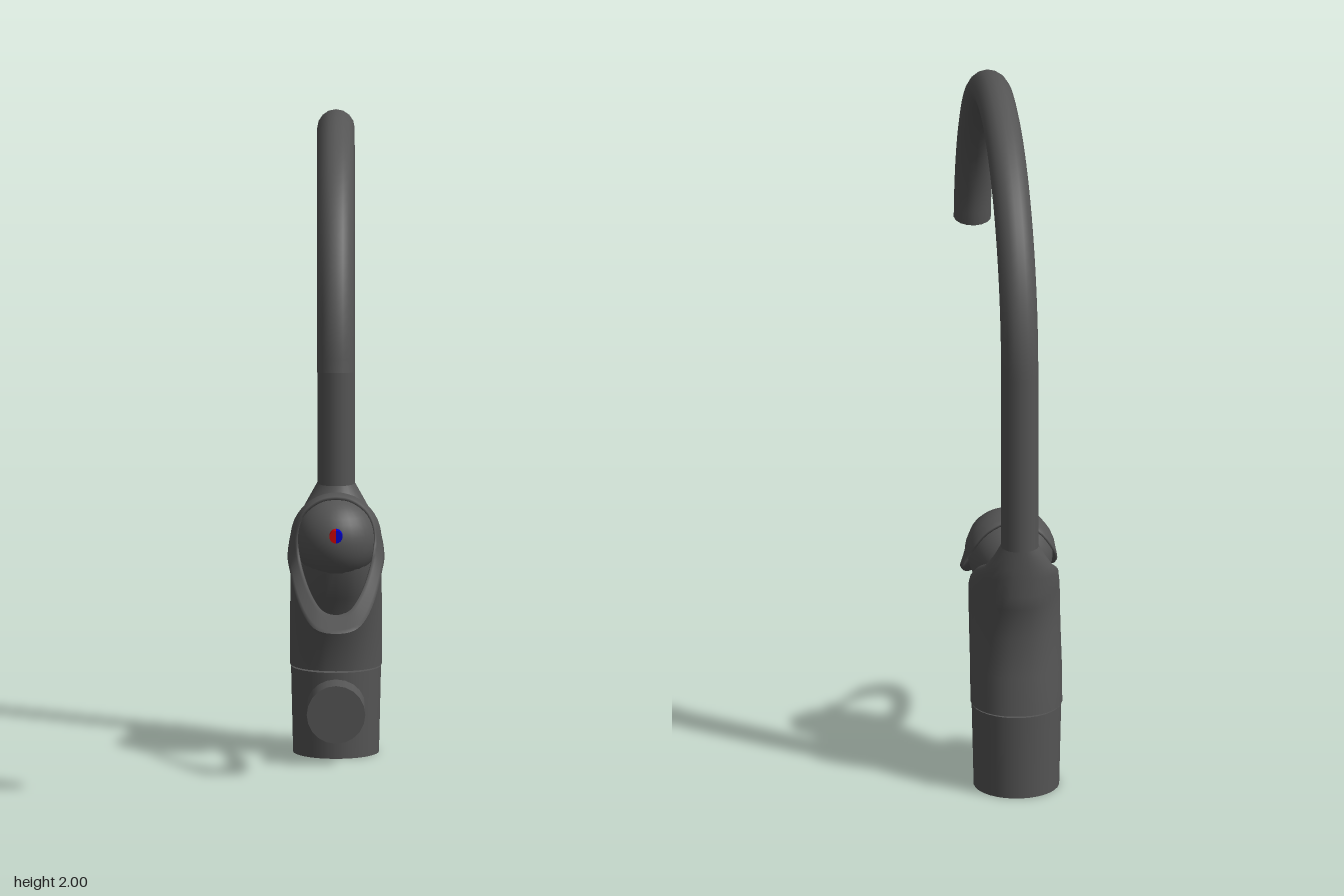
import * as THREE from 'three';

const V = (x, y, z) => new THREE.Vector3(x, y, z);
const metal = new THREE.MeshStandardMaterial({ color: 0x555555, side: THREE.DoubleSide });
const red = new THREE.MeshStandardMaterial({ color: 0xcc0000 });
const blue = new THREE.MeshStandardMaterial({ color: 0x0000cc });

// Smooth skin over closed rings of points; wrap joins the last ring to the first.
function loft(rings, wrap) {
  const n = rings[0].length, m = rings.length, index = [];
  for (let i = 0; i < (wrap ? m : m - 1); i++) {
    for (let j = 0; j < n; j++) {
      const a = i * n + j, b = i * n + (j + 1) % n;
      const c = ((i + 1) % m) * n + j, d = ((i + 1) % m) * n + (j + 1) % n;
      index.push(a, c, b, b, c, d);
    }
  }
  const geo = new THREE.BufferGeometry().setFromPoints(rings.flat());
  geo.setIndex(index);
  geo.computeVertexNormals();
  return geo;
}

export function createModel() {
  const model = new THREE.Group();
  model.name = 'kitchenTap';
  const add = (name, geo, mat = metal) => {
    const mesh = new THREE.Mesh(geo, mat);
    mesh.name = name;
    model.add(mesh);
    return mesh;
  };

  // Base cylinder and the round stub on its front
  add('base', new THREE.CylinderGeometry(0.132, 0.126, 0.257, 32)).position.set(0, 0.1285, -0.52);
  const stub = add('frontStub', new THREE.CylinderGeometry(0.086, 0.086, 0.19, 20));
  stub.rotation.x = Math.PI / 2;
  stub.position.set(0, 0.152, -0.375);

  // Upper body: sections given by front z, y, back z, y, half width
  const sections = [
    [-0.385, 0.263, -0.655, 0.263, 0.135],
    [-0.37, 0.38, -0.645, 0.38, 0.135],
    [-0.32, 0.49, -0.63, 0.5, 0.134],
    [-0.265, 0.59, -0.655, 0.6, 0.133],
    [-0.29, 0.605, -0.658, 0.64, 0.131],
    [-0.4, 0.655, -0.66, 0.695, 0.122],
    [-0.48, 0.685, -0.661, 0.73, 0.1],
    [-0.53, 0.735, -0.661, 0.765, 0.075],
    [-0.549, 0.785, -0.661, 0.785, 0.056],
  ];
  const sides = 32;
  add('body', loft(sections.map(([fz, fy, bz, by, w]) => {
    const ring = [];
    for (let j = 0; j < sides; j++) {
      const a = j / sides * Math.PI * 2, k = (1 + Math.sin(a)) / 2;
      ring.push(V(w * Math.sign(Math.cos(a)) * Math.abs(Math.cos(a)) ** 0.9,
        by + (fy - by) * k, bz + (fz - bz) * k));
    }
    return ring;
  }), false));

  // Gooseneck spout: straight riser, then a half-round bend
  const path = new THREE.CurvePath();
  path.add(new THREE.LineCurve3(V(0, 0.74, -0.605), V(0, 1.33, -0.605)));
  const bend = [];
  for (let i = 0; i <= 24; i++) {
    const a = Math.PI * (1 - i / 24 * 0.97), c = Math.cos(a), s = Math.sin(a);
    bend.push(c < 0 ? V(0, 1.33 + 0.615 * s, 0.605 * c) : V(0, 1.275 + 0.67 * s, 0.613 * c));
  }
  path.add(new THREE.CatmullRomCurve3(bend));
  add('spout', new THREE.TubeGeometry(path, 64, 0.055, 16, false));
  const outlet = add('spoutOutlet', new THREE.CircleGeometry(0.055, 16));
  outlet.position.copy(path.getPoint(1));
  outlet.lookAt(path.getPoint(1).add(path.getTangent(1)));

  // Ball under the lever
  const centre = V(0, 0.665, -0.36);
  add('ball', new THREE.SphereGeometry(0.125, 32, 20)).position.copy(centre);

  // Loop lever: outer and inner edges of one half, from the tip to the back of the cap
  const outerHalf = [
    [0, 0.455, 0.055], [0.055, 0.462, 0.035], [0.09, 0.485, -0.04], [0.117, 0.53, -0.14],
    [0.135, 0.585, -0.25], [0.142, 0.625, -0.33], [0.125, 0.69, -0.41], [0.075, 0.758, -0.425],
    [0, 0.787, -0.42],
  ];
  const innerHalf = [
    [0, 0.495, -0.035], [0.035, 0.502, -0.05], [0.06, 0.523, -0.09], [0.087, 0.565, -0.17],
    [0.108, 0.625, -0.255], [0.115, 0.695, -0.29], [0.095, 0.75, -0.31], [0.05, 0.785, -0.32],
    [0, 0.794, -0.325],
  ];
  const edge = (half) => new THREE.CatmullRomCurve3([
    ...half.map((p) => V(...p)),
    ...half.slice(1, -1).reverse().map(([x, y, z]) => V(-x, y, z)),
  ], true, 'catmullrom', 0.5);
  const outer = edge(outerHalf), inner = edge(innerHalf);
  const rings = [], steps = 64, across = 5;
  for (let i = 0; i < steps; i++) {
    const p = outer.getPoint(i / steps), q = inner.getPoint(i / steps), top = [];
    for (let j = 0; j <= across; j++) {
      const v = p.clone().lerp(q, j / across).sub(centre);
      if (v.length() < 0.134) v.setLength(0.134); // bulge the cap over the ball
      top.push(v.add(centre));
    }
    const under = top.map((v) => v.clone().add(V(0, 0.45, -0.33).sub(v).setLength(0.009)));
    rings.push([...top, ...under.reverse()]);
  }
  add('lever', loft(rings, true));

  // Hot and cold marker on the front of the ball
  for (const [name, mat, start] of [['coldMark', blue, 0], ['hotMark', red, Math.PI]]) {
    const mark = add(name, new THREE.CylinderGeometry(0.019, 0.019, 0.04, 12, 1, false, start, Math.PI), mat);
    mark.rotation.x = Math.PI / 2;
    mark.position.set(0, 0.695, -0.232);
  }
  return model;
}
